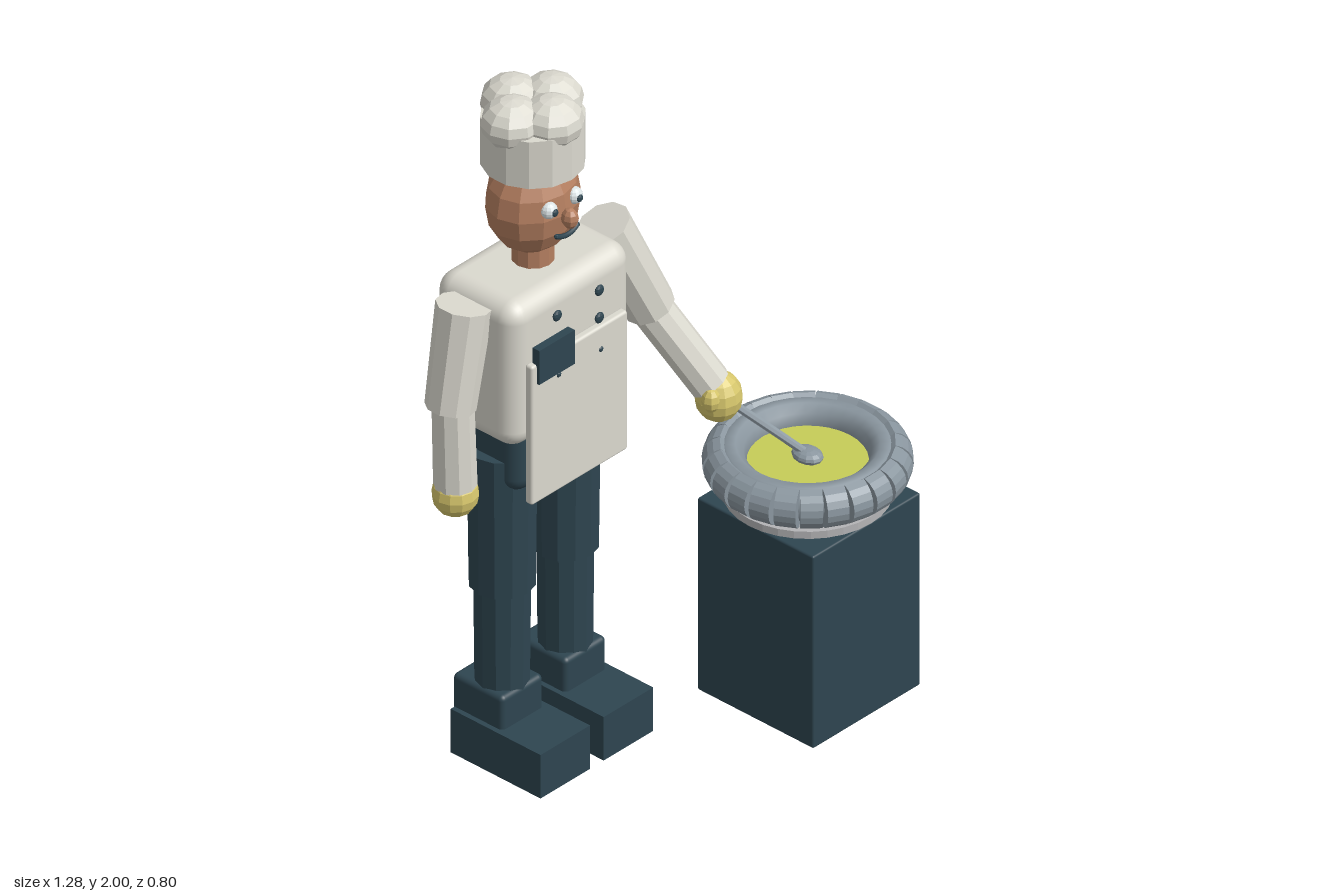
import * as THREE from 'three';
import { RoundedBoxGeometry } from 'three/addons/geometries/RoundedBoxGeometry.js';

const paint = (name, color) => {
  const m = new THREE.MeshStandardMaterial({ color });
  m.name = name;
  return m;
};

export function createModel() {
  const cloth = paint('whiteCloth', 0xdbd9cf);
  const navy = paint('darkNavy', 0x2e4550);
  const skin = paint('skin', 0xb57f60);
  const glove = paint('yellowGlove', 0xd6c66c);
  const soup = paint('greenSoup', 0xc6cd58);
  const grey = paint('rubberGrey', 0x8a969f);
  const plateGrey = paint('plateGrey', 0xb4b4b6);
  const eyeWhite = paint('eyeWhite', 0xe6eef0);

  const model = new THREE.Group();
  const v = (x, y, z) => new THREE.Vector3(x, y, z);

  // Faceted normals for the low-poly parts
  const facet = (g) => {
    const f = g.index ? g.toNonIndexed() : g;
    f.computeVertexNormals();
    return f;
  };
  const add = (name, geo, mat, x = 0, y = 0, z = 0, parent = model) => {
    const m = new THREE.Mesh(geo, mat);
    m.name = name;
    m.position.set(x, y, z);
    parent.add(m);
    return m;
  };
  const ball = (name, mat, x, y, z, rx, ry = rx, rz = rx, w = 12, h = 8) =>
    add(name, facet(new THREE.SphereGeometry(1, w, h).scale(rx, ry, rz)), mat, x, y, z);
  const drum = (name, mat, x, y, z, rTop, rBottom, h, n = 12) =>
    add(name, facet(new THREE.CylinderGeometry(rTop, rBottom, h, n)), mat, x, y, z);
  const box = (name, mat, x, y, z, w, h, d, r) =>
    add(name, r ? new RoundedBoxGeometry(w, h, d, 4, r) : new THREE.BoxGeometry(w, h, d), mat, x, y, z);
  // Tapered cylinder from point a (top) to point b (bottom)
  const limb = (name, mat, a, b, rA, rB, n = 10) => {
    const m = drum(name, mat, 0, 0, 0, rA, rB, a.distanceTo(b), n);
    m.position.copy(a).lerp(b, 0.5);
    m.quaternion.setFromUnitVectors(v(0, 1, 0), a.clone().sub(b).normalize());
    return m;
  };

  const cx = -0.27, cz = -0.25;

  // Hat: band and four puffs
  drum('hatBand', cloth, cx, 1.85, cz, 0.138, 0.138, 0.145, 14);
  for (let i = 0; i < 4; i++) {
    const a = (i * Math.PI) / 2;
    ball('hatPuff', cloth, cx + 0.075 * Math.cos(a), 1.93, cz - 0.003 + 0.07 * Math.sin(a), 0.085, 0.07, 0.085, 10, 8);
  }

  // Head and face
  ball('head', skin, cx, 1.66, cz, 0.136, 0.152, 0.118, 12, 8);
  drum('neck', skin, cx, 1.495, cz, 0.057, 0.057, 0.09);
  ball('nose', skin, cx, 1.655, -0.12, 0.022, 0.03, 0.025, 8, 6);
  for (const s of [-1, 1]) {
    ball('eye', eyeWhite, cx + s * 0.048, 1.69, -0.15, 0.024);
    ball('pupil', navy, cx + s * 0.047, 1.69, -0.128, 0.011, 0.011, 0.006, 8, 6);
  }
  const smile = new THREE.QuadraticBezierCurve3(
    v(cx - 0.04, 1.612, -0.13), v(cx, 1.592, -0.123), v(cx + 0.04, 1.612, -0.13));
  add('moustache', new THREE.TubeGeometry(smile, 8, 0.007, 6), navy);
  for (const s of [-1, 1]) ball('moustacheTip', navy, cx + s * 0.04, 1.612, -0.13, 0.007, 0.007, 0.007, 6, 4);

  // Jacket, trousers seat, apron, pocket and buttons
  box('jacket', cloth, -0.268, 1.253, -0.252, 0.462, 0.445, 0.29, 0.055);
  box('trouserSeat', navy, cx, 0.965, -0.255, 0.365, 0.21, 0.235, 0.045);
  box('apron', cloth, cx, 1.08, -0.097, 0.365, 0.43, 0.026, 0.008);
  box('pocket', navy, -0.367, 1.29, -0.087, 0.135, 0.105, 0.024);
  for (const x of [-0.35, -0.19])
    for (const y of [1.405, 1.32, 1.225]) {
      const low = y < 1.3;
      ball('button', navy, x, y, low ? -0.087 : -0.09, low ? 0.009 : 0.016, low ? 0.009 : 0.016, 0.008, 10, 6);
    }

  // Legs and boots
  for (const s of [-1, 1]) {
    const x = cx + s * 0.12;
    drum('thigh', navy, x, 0.742, -0.247, 0.094, 0.089, 0.425);
    drum('shin', navy, x, 0.36, -0.247, 0.077, 0.073, 0.4);
    box('bootShaft', navy, x, 0.163, -0.262, 0.158, 0.145, 0.178, 0.015);
    box('bootFoot', navy, x, 0.0675, -0.183, 0.188, 0.135, 0.316);
  }

  // Right arm, hanging
  limb('rightUpperArm', cloth, v(-0.525, 1.452, -0.255), v(-0.578, 1.16, -0.255), 0.076, 0.068);
  limb('rightForearm', cloth, v(-0.572, 1.19, -0.252), v(-0.57, 0.92, -0.245), 0.056, 0.058);
  ball('rightGlove', glove, -0.57, 0.893, -0.245, 0.063, 0.066, 0.063);

  // Left arm, reaching to the pot
  limb('leftUpperArm', cloth, v(-0.005, 1.447, -0.25), v(0.122, 1.155, -0.202), 0.076, 0.07);
  limb('leftForearm', cloth, v(0.11, 1.18, -0.215), v(0.215, 0.925, -0.075), 0.057, 0.056);
  ball('leftGlove', glove, 0.23, 0.885, -0.06, 0.064, 0.072, 0.064);
  ball('leftThumb', glove, 0.18, 0.905, -0.04, 0.026, 0.036, 0.026, 8, 6);

  // Spoon
  limb('spoonHandle', grey, v(0.235, 0.885, -0.06), v(0.365, 0.725, 0.125), 0.012, 0.012, 8);
  ball('spoonBowl', grey, 0.366, 0.72, 0.127, 0.036, 0.02, 0.047, 12, 8);

  // Counter and plate
  const px = 0.366, pz = 0.128;
  box('counter', navy, px, 0.298, pz + 0.004, 0.408, 0.596, 0.408, 0.006);
  drum('plate', plateGrey, px, 0.618, pz, 0.222, 0.222, 0.022, 32);

  // Tyre pot: ring, tread blocks and soup
  const ring = new THREE.TorusGeometry(0.2, 0.042, 10, 32).rotateX(Math.PI / 2).scale(1, 1.3, 1);
  add('tyreRing', ring, grey, px, 0.705, pz);
  drum('soup', soup, px, 0.69, pz, 0.166, 0.166, 0.03, 16);

  const treadShape = new THREE.Shape();
  const steps = 8, reach = 1.35;
  for (let i = 0; i <= steps; i++) {
    const a = reach * (2 * i / steps - 1);
    const x = 0.213 + 0.06 * Math.cos(a), y = 0.059 * Math.sin(a);
    if (i) treadShape.lineTo(x, y); else treadShape.moveTo(x, y);
  }
  for (let i = steps; i >= 0; i--) {
    const a = reach * (2 * i / steps - 1);
    treadShape.lineTo(0.2 + 0.03 * Math.cos(a), 0.043 * Math.sin(a));
  }
  treadShape.closePath();
  const treadGeo = new THREE.ExtrudeGeometry(treadShape, { depth: 0.058, bevelEnabled: false });
  treadGeo.translate(0, 0, -0.029);
  const treads = new THREE.Group();
  treads.name = 'tyreTreads';
  treads.position.set(px, 0.705, pz);
  model.add(treads);
  const count = 24;
  for (let i = 0; i < count; i++)
    add('treadBlock', treadGeo, grey, 0, 0, 0, treads).rotation.y = (i * 2 * Math.PI) / count;

  return model;
}
